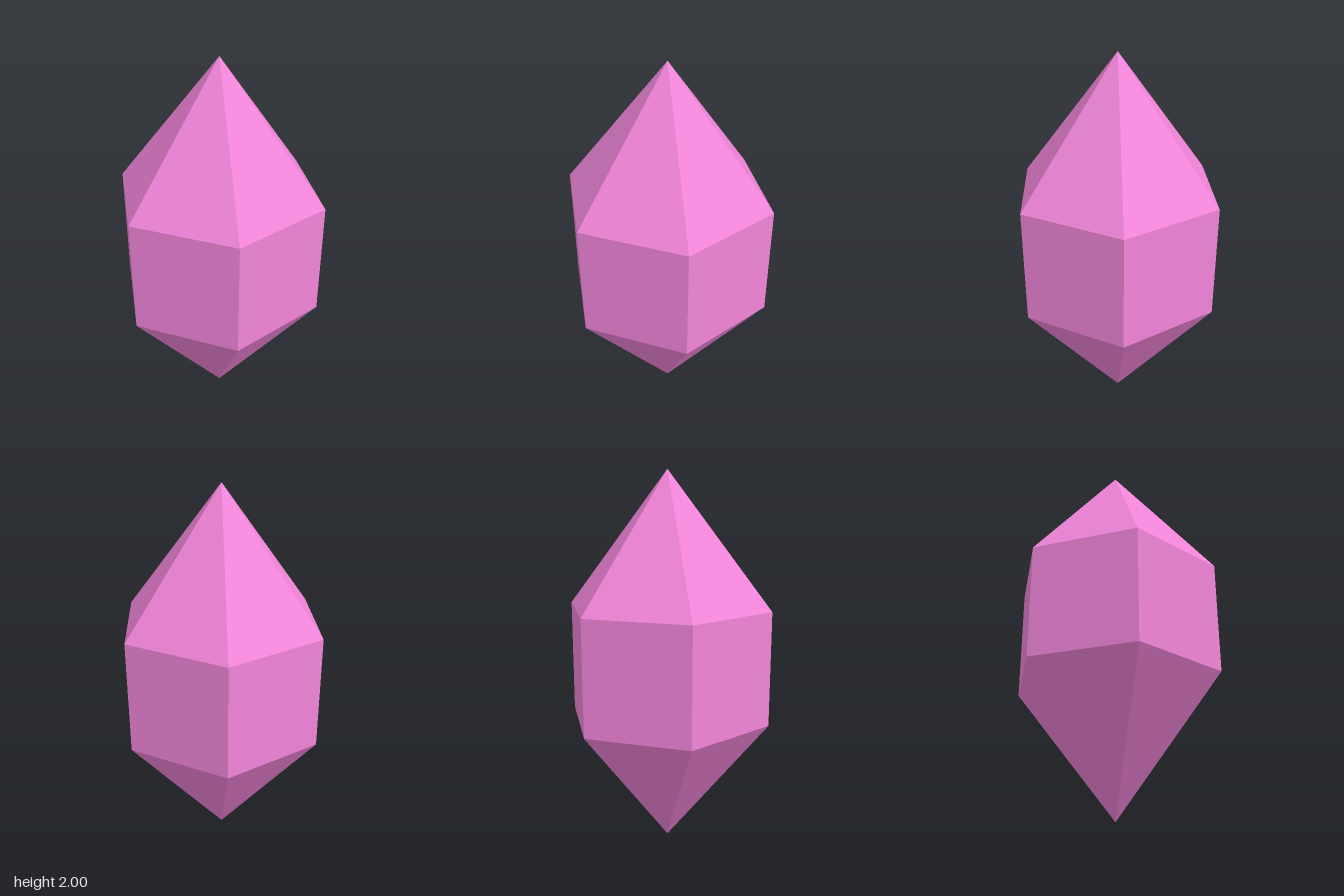
import * as THREE from 'three';

export function createModel() {
  const group = new THREE.Group();
  group.name = 'crystal';

  const radius = 0.554;
  const material = new THREE.MeshStandardMaterial({ color: 0xf285da, flatShading: true });

  // Six-sided double-pointed gem: lower tip, straight waist, upper tip
  const profile = [[0, 0], [radius, 0.7], [radius, 1.3], [0, 2]]
    .map(([r, y]) => new THREE.Vector2(r, y));

  // Start at 30 degrees so flat sides face front and back, corners lie on x
  const geometry = new THREE.LatheGeometry(profile, 6, Math.PI / 6);

  const gem = new THREE.Mesh(geometry, material);
  gem.name = 'gem';
  group.add(gem);
  return group;
}
